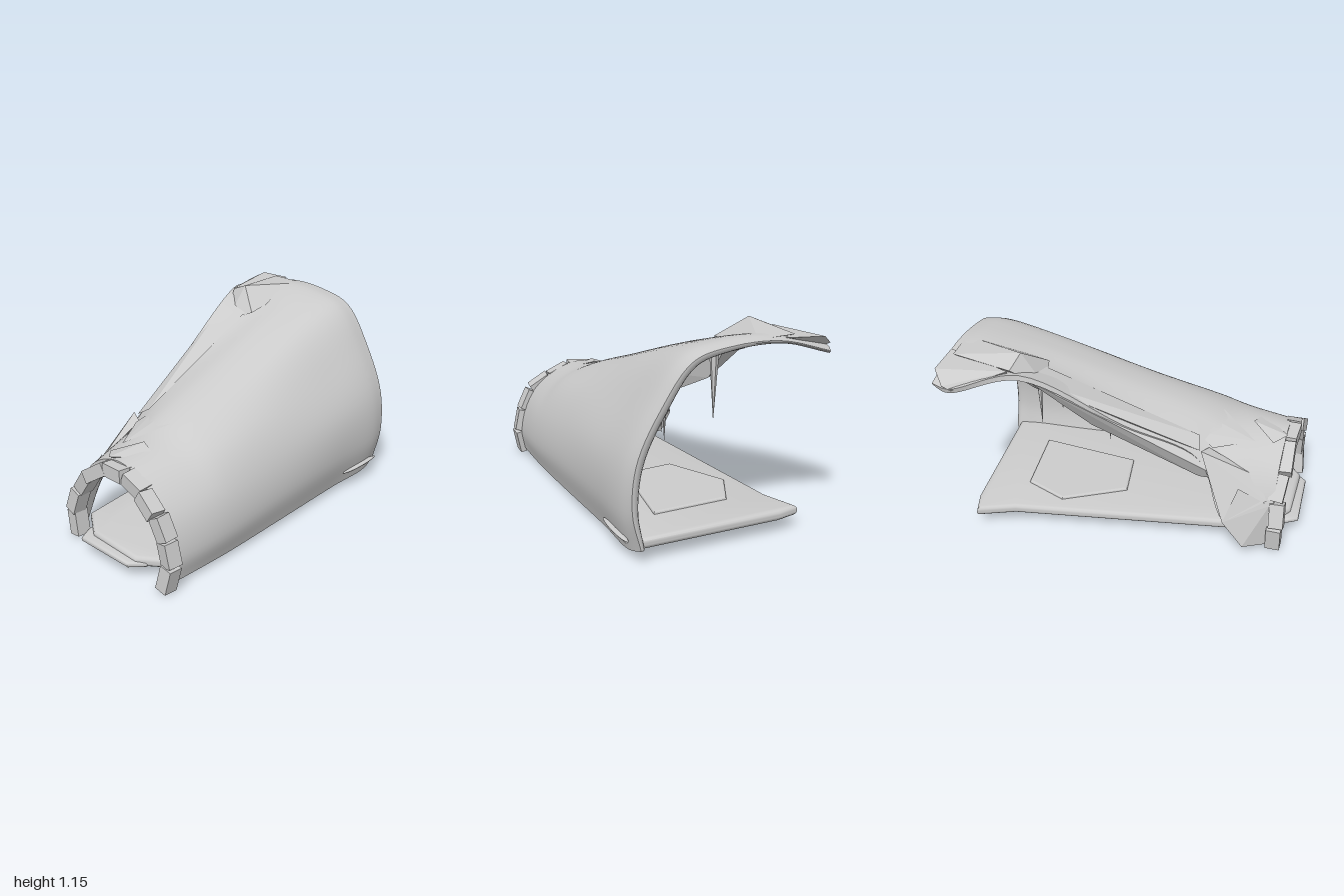
import * as THREE from 'three';
import { toCreasedNormals } from 'three/addons/utils/BufferGeometryUtils.js';
import { ConvexGeometry } from 'three/addons/geometries/ConvexGeometry.js';

const V = (x, y, z) => new THREE.Vector3(x, y, z);
const grey = new THREE.MeshStandardMaterial({ color: 0xcccccc, side: THREE.DoubleSide });
const faceted = new THREE.MeshStandardMaterial({ color: 0xcccccc, flatShading: true });

// Outer arch cross-sections: z, then [x, y] from the right foot over the crown to the open edge
const section = (z, ...points) => points.map(([x, y]) => V(x, y, z));
const mouth = section(0.86, [0.58, 0.03], [0.6, 0.17], [0.53, 0.39], [0.36, 0.55], [0.16, 0.595], [-0.06, 0.5], [-0.19, 0.29], [-0.21, 0.03]);
const foot = section(0.6, [0.57, 0.03], [0.605, 0.18], [0.55, 0.4], [0.38, 0.58], [0.18, 0.635], [-0.06, 0.59], [-0.23, 0.44], [-0.35, 0.25]);
const notch = section(0.42, [0.56, 0.03], [0.6, 0.19], [0.56, 0.4], [0.43, 0.59], [0.23, 0.69], [0.04, 0.7], [-0.1, 0.65], [-0.23, 0.56]);
const middle = section(0, [0.53, 0.04], [0.575, 0.23], [0.54, 0.45], [0.42, 0.66], [0.23, 0.81], [0.02, 0.85], [-0.16, 0.82], [-0.33, 0.78]);
const rear = section(-0.55, [0.48, 0.045], [0.535, 0.26], [0.515, 0.5], [0.39, 0.74], [0.19, 0.98], [-0.03, 1.035], [-0.24, 1.035], [-0.46, 1.08]);
const flare = section(-0.88, [0.46, 0.05], [0.51, 0.27], [0.485, 0.54], [0.35, 0.82], [0.17, 1.055], [-0.05, 1.115], [-0.34, 1.12], [-0.64, 1.04]);
const rim = flare.map((p) => V(p.x * 0.94, 0.035 + p.y * 0.96, -1));

// Smooth, widening half-tunnel lofted through the sections, rounded off at the rear rim
function shellGeometry() {
  const rows = 48, cols = 40, ring = 2 * (cols + 1);
  const rails = mouth.map((_, i) => new THREE.CatmullRomCurve3(
    [mouth, foot, notch, middle, rear, flare, rim].map((s) => s[i]), false, 'centripetal'));
  const pos = [], idx = [];
  for (let j = 0; j <= rows; j++) {
    const v = j / rows;
    const arch = new THREE.CatmullRomCurve3(rails.map((r) => r.getPoint(v)));
    const taper = Math.sqrt(1.03 - Math.max(0, (v - 0.84) / 0.16) ** 2);
    const outer = [], inner = [];
    for (let i = 0; i <= cols; i++) {
      const u = i / cols, p = arch.getPoint(u), t = arch.getTangent(u);
      const l = Math.hypot(t.x, t.y);
      const thick = taper * (0.03 + (0.015 + 0.05 * v) * Math.sin(Math.PI * Math.min(1, u + 0.1)) * (1 - 0.5 * u));
      outer.push(p);
      inner.push(V(p.x - (t.y / l) * thick, p.y + (t.x / l) * thick, p.z));
    }
    for (const p of [...outer, ...inner.reverse()]) pos.push(p.x, p.y, p.z);
  }
  const quad = (a, b, c, d) => idx.push(a, b, c, a, c, d);
  for (let j = 0; j < rows; j++) for (let i = 0; i < ring; i++) {
    const n = (i + 1) % ring, a = j * ring, b = a + ring;
    quad(a + i, b + i, b + n, a + n);
  }
  const end = rows * ring;
  for (let i = 0; i < cols; i++) {
    const k = ring - 1 - i;
    quad(i, i + 1, k - 1, k);
    quad(end + k, end + k - 1, end + i + 1, end + i);
  }
  const g = new THREE.BufferGeometry();
  g.setAttribute('position', new THREE.Float32BufferAttribute(pos, 3));
  g.setIndex(idx);
  return toCreasedNormals(g, 0.8);
}

// Flat slab with rounded rim from an [x, z] outline
function slab(outline, y, height, bevel) {
  const shape = new THREE.Shape(outline.map(([x, z]) => new THREE.Vector2(x, -z)));
  const g = new THREE.ExtrudeGeometry(shape, {
    depth: height - 2 * bevel, bevelThickness: bevel, bevelSize: bevel, bevelOffset: -bevel, bevelSegments: 3,
  });
  g.rotateX(-Math.PI / 2).translate(0, y + bevel, 0);
  return toCreasedNormals(g, 0.8);
}

export function createModel() {
  const model = new THREE.Group();
  const add = (name, geometry, material = grey, parent = model) => {
    const m = new THREE.Mesh(geometry, material);
    m.name = name;
    parent.add(m);
    return m;
  };
  const rock = (name, ...pts) => add(name, new ConvexGeometry(pts.map((p) => V(...p))), faceted);

  add('tunnelShell', shellGeometry());

  // Floor with a pointed rear corner and a front lip
  add('floor', slab([[0.02, 0.94], [0.38, 0.94], [0.55, 0.8], [0.48, -0.88], [0.42, -0.97],
    [-0.4, -0.9], [-0.53, -0.86], [-0.44, -0.65], [-0.22, 0.55], [-0.17, 0.82]], 0.075, 0.06, 0.025));
  add('frontLip', slab([[-0.02, 0.995], [0.36, 0.98], [0.43, 0.9], [0.4, 0.8], [-0.06, 0.8], [-0.07, 0.91]], 0.075, 0.035, 0.015));
  add('floorPlate', slab([[0.2, -0.1], [0.25, -0.7], [-0.2, -0.65], [-0.3, -0.4], [-0.1, -0.05]], 0.12, 0.03, 0.012), faceted);

  // Brick arch around the small mouth, one brick between each pair of joints
  const arch = new THREE.Group();
  arch.name = 'brickArch';
  model.add(arch);
  const joints = [[-0.192, 0.01], [-0.213, 0.163], [-0.163, 0.305], [-0.06, 0.435], [0.105, 0.545], [0.262, 0.555],
    [0.39, 0.498], [0.51, 0.42], [0.572, 0.295], [0.603, 0.157], [0.572, 0.01]];
  joints.slice(1).forEach(([x2, y2], i) => {
    const [x1, y1] = joints[i];
    const b = add('brick', new THREE.BoxGeometry(Math.hypot(x2 - x1, y2 - y1) - 0.004, 0.075, 0.085), faceted, arch);
    b.position.set((x1 + x2) / 2, (y1 + y2) / 2, 0.88 + 0.008 * Math.sin(i * 2.3));
    b.rotation.set(0.08 * Math.sin(i * 4), 0.08 * Math.sin(i * 3), Math.atan2(y2 - y1, x2 - x1));
  });

  // Broken rock along the open edge
  rock('peakRock', [-0.46, 1.1, -0.6], [-0.34, 1.15, -0.58], [-0.18, 1.03, -0.48], [-0.35, 0.95, -0.43],
    [-0.2, 1.12, -0.97], [-0.42, 1.125, -0.95]);
  rock('flapRock', [-0.64, 1.03, -0.87], [-0.645, 1.055, -0.92], [-0.57, 1.11, -0.99],
    [-0.47, 1.1, -0.61], [-0.43, 1.03, -0.63], [-0.36, 1.12, -0.99]);
  rock('edgeRidge', [-0.36, 0.95, -0.5], [-0.46, 1.08, -0.58], [-0.21, 0.61, 0.42], [-0.13, 0.66, 0.4],
    [-0.24, 1.03, -0.5]);
  rock('edgeCurtain', [-0.43, 1.04, -0.52], [-0.3, 1, -0.45], [-0.28, 0.71, -0.2], [-0.21, 0.43, 0.42],
    [-0.17, 0.6, 0.42], [-0.23, 0.45, 0.58]);
  rock('sideBoulder', [-0.365, 0.25, 0.6], [-0.345, 0.08, 0.72], [-0.21, 0.03, 0.86],
    [-0.2, 0.3, 0.84], [-0.25, 0.42, 0.66]);
  rock('shoulderRock', [-0.365, 0.25, 0.6], [-0.15, 0.6, 0.46], [-0.23, 0.62, 0.43],
    [-0.14, 0.45, 0.75], [-0.2, 0.33, 0.82]);
  rock('ledgeShard', [-0.15, 0.6, 0.48], [0.14, 0.68, 0.48], [0, 0.59, 0.7], [0.03, 0.7, 0.38], [-0.1, 0.66, 0.38]);
  rock('frontShard', [0.28, 0.605, 0.7], [0.1, 0.6, 0.87], [0.02, 0.585, 0.8], [0.14, 0.635, 0.66], [0.15, 0.55, 0.76]);

  // Stalactites under the roof: x, z, tip y, root y
  for (const [x, z, tip, root] of [[0.13, -0.54, 0.48, 0.95], [-0.15, -0.56, 0.57, 1], [0.01, -0.19, 0.4, 0.86], [0.22, 0.3, 0.46, 0.68]]) {
    const s = add('stalactite', new THREE.ConeGeometry(0.03, root - tip, 6), faceted);
    s.rotation.x = Math.PI;
    s.position.set(x, (tip + root) / 2, z);
  }

  // Thin flake low on the closed side
  const flake = add('sideFlake', new THREE.SphereGeometry(1, 16, 8));
  flake.scale.set(0.022, 0.01, 0.17);
  flake.position.set(0.495, 0.122, -0.78);
  flake.rotation.y = 0.06;
  return model;
}
